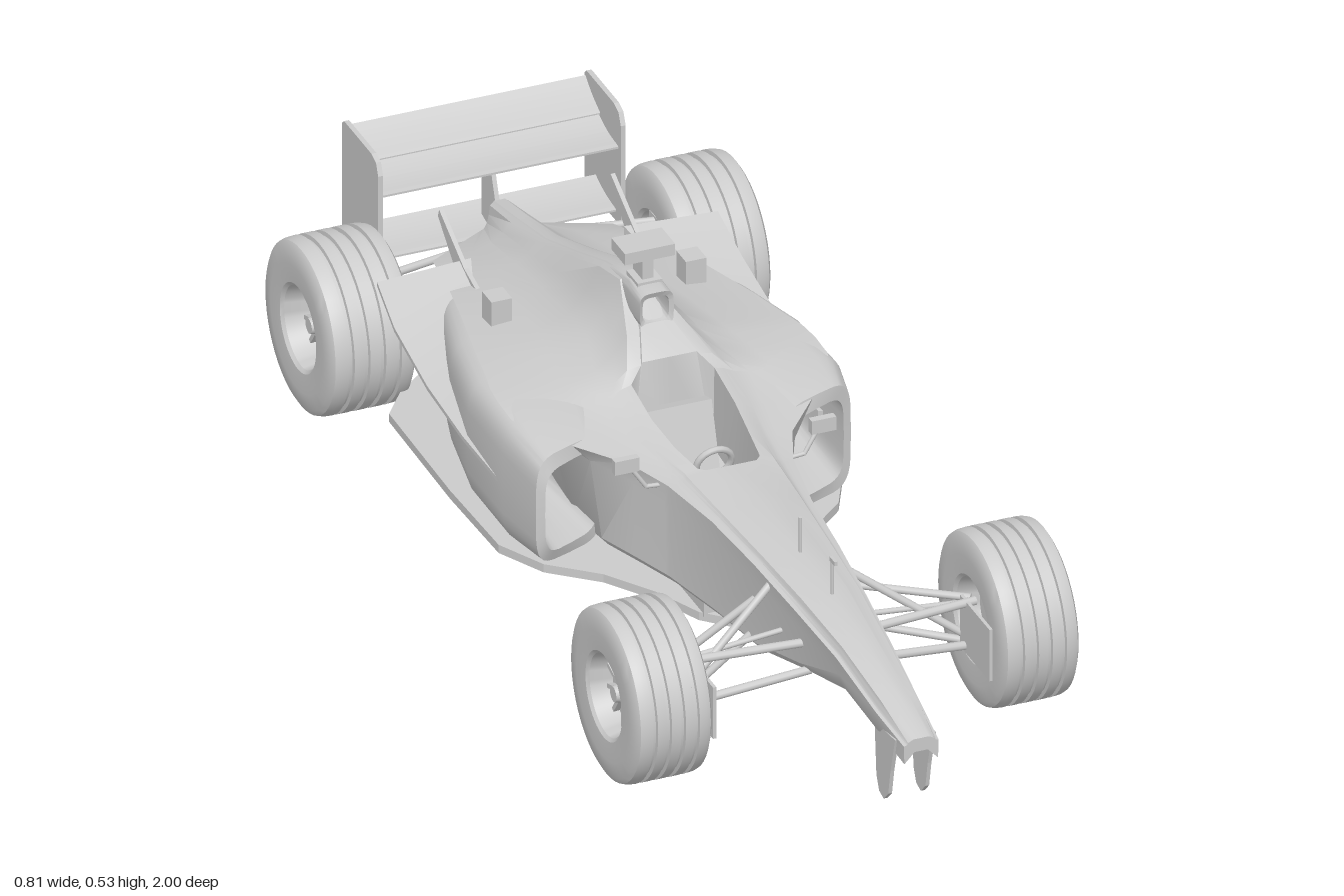
import * as THREE from 'three';
import { mergeVertices, toCreasedNormals } from 'three/addons/utils/BufferGeometryUtils.js';

const V = (x, y, z) => new THREE.Vector3(x, y, z);

// Skin equal-length closed rings, cap both ends, and turn the faces outwards.
function loft(rings, crease = 0.6) {
  const n = rings[0].length, pts = rings.flat(), idx = [];
  for (let i = 0; i < rings.length - 1; i++) {
    for (let j = 0; j < n; j++) {
      const a = i * n + j, b = i * n + (j + 1) % n;
      idx.push(a, b, a + n, b, b + n, a + n);
    }
  }
  [0, rings.length - 1].forEach((r, end) => {
    const mid = rings[r].reduce((s, p) => s.add(p), V(0, 0, 0)).divideScalar(n);
    pts.push(mid);
    for (let j = 0; j < n; j++) {
      const a = r * n + j, b = r * n + (j + 1) % n;
      idx.push(...(end ? [a, b, pts.length - 1] : [b, a, pts.length - 1]));
    }
  });
  let volume = 0;
  for (let i = 0; i < idx.length; i += 3) {
    volume += pts[idx[i]].dot(V(0, 0, 0).crossVectors(pts[idx[i + 1]], pts[idx[i + 2]]));
  }
  if (volume < 0) idx.reverse();
  const g = new THREE.BufferGeometry().setFromPoints(pts);
  g.setIndex(idx);
  return toCreasedNormals(mergeVertices(g, 1e-5), crease);
}

// Rounded-rectangle ring; the outer side is swept back by slant.
function roundRing(z, x0, x1, y0, y1, slant = 0, n = 32) {
  const round = (c) => Math.sign(c) * Math.pow(Math.abs(c), 0.45);
  return Array.from({ length: n }, (_, i) => {
    const a = (i / n) * Math.PI * 2;
    const u = round(Math.cos(a)), v = round(Math.sin(a));
    return V((x0 + x1) / 2 + u * (x1 - x0) / 2, (y0 + y1) / 2 + v * (y1 - y0) / 2, z - slant * u);
  });
}

// Body section: cockpit floor or crown, rim, concave flank, shoulder, side wall, underside.
function bodyRing([z, crown, inW, rim, topW, shX, shY, botX, bot]) {
  const flank = (t, d) => [topW + (shX - topW) * t, rim - 0.005 - (rim - 0.005 - shY) * d];
  const half = [
    [inW, crown], [inW + 0.002, rim], [topW, rim - 0.005], flank(0.1, 0.38), flank(0.25, 0.7), flank(0.5, 0.9),
    [shX, shY], [botX + (shX - botX) * 0.4, shY - 0.035], [botX, bot + 0.015], [botX - 0.012, bot],
  ];
  return [V(0, crown, z), ...half.map(([x, y]) => V(x, y, z)), V(0, bot, z), ...half.reverse().map(([x, y]) => V(-x, y, z))];
}

export function createModel() {
  const model = new THREE.Group();
  const mat = new THREE.MeshStandardMaterial({ color: 0xcccccc, side: THREE.DoubleSide });
  const add = (name, geo, x = 0, y = 0, z = 0, parent = model) => {
    const m = new THREE.Mesh(geo, mat);
    m.name = name;
    m.position.set(x, y, z);
    parent.add(m);
    return m;
  };
  const box = (name, w, h, d, x, y, z, parent) => add(name, new THREE.BoxGeometry(w, h, d), x, y, z, parent);
  const rod = (name, a, b, r = 0.006) => {
    const m = add(name, new THREE.CylinderGeometry(r, r, a.distanceTo(b), 10));
    m.position.copy(a).lerp(b, 0.5);
    m.quaternion.setFromUnitVectors(V(0, 1, 0), b.clone().sub(a).normalize());
  };
  // Side-view outline of [z, y] points, extruded across x.
  const plate = (name, pts, x, w) => {
    const g = new THREE.ExtrudeGeometry(new THREE.Shape(pts.map(([z, y]) => new THREE.Vector2(-z, y))), { depth: w, bevelEnabled: false });
    g.translate(0, 0, -w / 2).rotateY(Math.PI / 2);
    return add(name, g, x);
  };

  // Nose, cockpit tub and engine cover
  const nose = [
    [1, 0.21, 0.012, 0.21, 0.024, 0.032, 0.2, 0.03, 0.185],
    [0.9, 0.24, 0.015, 0.239, 0.031, 0.041, 0.215, 0.036, 0.174],
    [0.75, 0.268, 0.02, 0.267, 0.04, 0.052, 0.245, 0.041, 0.175],
    [0.6, 0.285, 0.03, 0.284, 0.052, 0.066, 0.262, 0.055, 0.14],
    [0.45, 0.292, 0.035, 0.291, 0.062, 0.079, 0.275, 0.072, 0.102],
    [0.3, 0.296, 0.04, 0.295, 0.072, 0.092, 0.28, 0.086, 0.092],
    [0.165, 0.297, 0.045, 0.297, 0.08, 0.115, 0.282, 0.112, 0.09],
  ];
  const cockpit = [
    [0.155, 0.22, 0.055, 0.298, 0.08, 0.118, 0.282, 0.115, 0.09],
    [0.08, 0.17, 0.066, 0.302, 0.088, 0.148, 0.286, 0.14, 0.09],
    [0, 0.17, 0.074, 0.315, 0.094, 0.22, 0.295, 0.168, 0.09],
    [-0.09, 0.18, 0.074, 0.335, 0.094, 0.285, 0.305, 0.18, 0.09],
    [-0.105, 0.365, 0.05, 0.36, 0.078, 0.29, 0.307, 0.18, 0.09],
    [-0.16, 0.4, 0.03, 0.395, 0.055, 0.29, 0.31, 0.18, 0.09],
  ];
  const cover = [
    [-0.21, 0.42, 0.018, 0.415, 0.04, 0.285, 0.31, 0.18, 0.09],
    [-0.25, 0.452, 0.014, 0.45, 0.03, 0.275, 0.309, 0.18, 0.09],
    [-0.35, 0.425, 0.013, 0.423, 0.027, 0.255, 0.304, 0.18, 0.09],
    [-0.48, 0.375, 0.012, 0.373, 0.025, 0.225, 0.294, 0.17, 0.09],
    [-0.62, 0.325, 0.011, 0.323, 0.023, 0.193, 0.275, 0.15, 0.09],
    [-0.75, 0.295, 0.01, 0.293, 0.021, 0.165, 0.245, 0.12, 0.1],
    [-0.85, 0.275, 0.01, 0.273, 0.018, 0.04, 0.22, 0.035, 0.13],
  ];
  add('body', loft([...nose, ...cockpit, ...cover].map(bodyRing)));

  // Airbox: the rings fold inwards at the lip to make the intake
  add('airIntake', loft([
    [-0.23, 0.02, 0.415, 0.445], [-0.165, 0.024, 0.403, 0.45], [-0.16, 0.031, 0.393, 0.461],
    [-0.22, 0.031, 0.39, 0.464], [-0.32, 0.022, 0.38, 0.434],
  ].map(([z, w, a, b]) => roundRing(z, -w, w, a, b))));

  // Cockpit fittings and roof camera
  const wheelRing = add('steeringWheel', new THREE.TorusGeometry(0.032, 0.006, 8, 20), 0, 0.262, 0.09);
  wheelRing.rotation.x = 0.3;
  box('seat', 0.12, 0.12, 0.03, 0, 0.23, -0.06).rotation.x = -0.3;
  box('cameraPost', 0.02, 0.05, 0.04, 0, 0.485, -0.22);
  box('cameraBase', 0.045, 0.008, 0.05, 0, 0.463, -0.215);
  box('roofCamera', 0.092, 0.022, 0.06, 0, 0.519, -0.22);
  for (const [z, y] of [[0.61, 0.28], [0.47, 0.288]]) rod('antenna', V(0, y, z), V(0, y + 0.07, z), 0.003);
  box('sensorHead', 0.006, 0.008, 0.022, 0, 0.35, 0.615);

  // Flat floor
  const edge = [[0.03, 0.3], [0.09, 0.24], [0.13, 0.15], [0.19, 0.06], [0.27, -0.01], [0.315, -0.1], [0.32, -0.3],
    [0.315, -0.58], [0.27, -0.64], [0.21, -0.69], [0.18, -0.84]];
  const outline = [...edge, ...edge.map(([x, z]) => [-x, z]).reverse()].map(([x, z]) => new THREE.Vector2(x, -z));
  const floor = new THREE.ExtrudeGeometry(new THREE.Shape(outline), { depth: 0.016, bevelEnabled: false });
  add('floor', floor.rotateX(-Math.PI / 2), 0, 0.055);
  box('floorStep', 0.17, 0.03, 1.0, 0, 0.08, -0.25);

  // Gearbox tail and diffuser
  add('gearbox', loft([[-0.7, 0.07, 0.09, 0.24], [-0.85, 0.04, 0.11, 0.21], [-0.93, 0.025, 0.13, 0.18]]
    .map(([z, w, a, b]) => roundRing(z, -w, w, a, b))));
  for (const x of [-0.12, 0, 0.12]) {
    box('diffuserPanel', 0.09, 0.006, 0.15, x, 0.09, -0.845).rotation.x = 0.35;
  }
  for (const x of [-0.17, -0.075, -0.04, 0.04, 0.075, 0.17]) {
    plate('diffuserFin', [[-0.74, 0.06], [-0.86, 0.042], [-0.915, 0.045], [-0.915, 0.115]], x, 0.005);
  }

  // Rear wing: curved blades between two end plates
  const blade = (name, z0, y0, z1, y1, sag, thick) => {
    const top = [], low = [];
    for (let i = 0; i <= 10; i++) {
      const t = i / 10, z = z0 + (z1 - z0) * t, y = y0 + (y1 - y0) * t - sag * 4 * t * (1 - t);
      const h = thick * Math.sqrt(t + 0.02) * (1.05 - t);
      top.push([z, y + h]);
      low.unshift([z, y - h]);
    }
    plate(name, [...top, ...low], 0, 0.44);
  };
  blade('mainWing', -0.85, 0.328, -0.945, 0.352, 0.01, 0.013);
  blade('wingFlap', -0.93, 0.352, -0.995, 0.392, 0.006, 0.008);
  blade('lowerWing', -0.86, 0.2, -0.95, 0.222, 0.008, 0.012);
  plate('wingPost', [[-0.82, 0.16], [-0.88, 0.32], [-0.92, 0.32], [-0.92, 0.15]], 0, 0.008);

  for (const s of [-1, 1]) {
    plate('wingEndPlate', [[-0.84, 0.18], [-0.84, 0.375], [-0.85, 0.397], [-0.87, 0.404], [-0.99, 0.404], [-1, 0.395], [-1, 0.185], [-0.99, 0.178]], s * 0.222, 0.009);

    // Sidepod with a hollow inlet
    add('sidepod', loft([
      [-0.2, 0.2, 0.27, 0.13, 0.25], [0.005, 0.165, 0.285, 0.112, 0.273], [0, 0.155, 0.3, 0.09, 0.298],
      [-0.09, 0.13, 0.312, 0.075, 0.314], [-0.25, 0.1, 0.31, 0.07, 0.311], [-0.4, 0.08, 0.28, 0.07, 0.3],
      [-0.55, 0.06, 0.235, 0.07, 0.283], [-0.68, 0.05, 0.19, 0.07, 0.258], [-0.78, 0.03, 0.13, 0.08, 0.22],
    ].map(([z, a, b, c, d], i) => roundRing(z, s * a, s * b, c, d, i < 3 ? s * 0.028 : 0))));

    // Rising winglet along the sidepod, ahead of the rear wheel
    add('sideWinglet', loft([[-0.1, 0.27, 0.311, 0.19], [-0.25, 0.25, 0.318, 0.2], [-0.4, 0.22, 0.32, 0.218],
      [-0.55, 0.17, 0.318, 0.252], [-0.64, 0.14, 0.312, 0.292]].map(([z, a, b, y]) =>
      [V(s * a, y + 0.012, z), V(s * b, y + 0.003, z), V(s * b, y - 0.005, z), V(s * a, y - 0.012, z)])));
    plate('coverFin', [[-0.53, 0.275], [-0.62, 0.298], [-0.73, 0.355], [-0.735, 0.34], [-0.64, 0.26]], s * 0.157, 0.008);
    box('exhaustVent', 0.038, 0.06, 0.042, s * 0.178, 0.32, -0.435);

    // Mirror on a bent stalk, nose pylon
    box('mirror', 0.045, 0.026, 0.014, s * 0.18, 0.322, 0.135);
    rod('mirrorStalk', V(s * 0.11, 0.272, 0.14), V(s * 0.145, 0.275, 0.14), 0.004);
    rod('mirrorStalk', V(s * 0.145, 0.275, 0.14), V(s * 0.175, 0.32, 0.135), 0.004);
    plate('nosePylon', [[0.975, 0.2], [0.955, 0.13], [0.945, 0.08], [0.925, 0.06], [0.905, 0.065], [0.893, 0.09], [0.885, 0.19]], s * 0.034, 0.007);

    // Suspension: [name, from wheel, to body, radius]
    const arms = [
      ['frontUpperArm', [0.27, 0.2, 0.59], [0.05, 0.2, 0.61], 0.008], ['frontUpperArm', [0.27, 0.195, 0.57], [0.07, 0.2, 0.44], 0.007],
      ['frontLowerArm', [0.27, 0.115, 0.59], [0.04, 0.145, 0.61], 0.008], ['frontLowerArm', [0.27, 0.11, 0.57], [0.07, 0.12, 0.42], 0.007],
      ['frontPushrod', [0.26, 0.125, 0.57], [0.065, 0.262, 0.5], 0.007], ['steeringArm', [0.27, 0.17, 0.54], [0.06, 0.19, 0.54], 0.005],
      ['driveshaft', [0.27, 0.155, -0.77], [0.03, 0.155, -0.77], 0.012], ['rearUpperArm', [0.26, 0.22, -0.77], [0.03, 0.21, -0.83], 0.007],
      ['rearUpperArm', [0.26, 0.22, -0.75], [0.1, 0.22, -0.7], 0.007], ['rearLowerArm', [0.26, 0.1, -0.77], [0.03, 0.12, -0.84], 0.007],
      ['rearLowerArm', [0.26, 0.1, -0.75], [0.1, 0.11, -0.68], 0.007], ['rearPushrod', [0.26, 0.11, -0.75], [0.08, 0.235, -0.73], 0.006],
    ];
    for (const [name, a, b, r] of arms) rod(name, V(s * a[0], a[1], a[2]), V(s * b[0], b[1], b[2]), r);
    box('brakeDuct', 0.006, 0.1, 0.13, s * 0.253, 0.155, 0.635);
    box('rearUpright', 0.02, 0.14, 0.06, s * 0.26, 0.16, -0.765);

    // Grooved wheels with dished rims
    for (const [end, x, z, h] of [['front', 0.336, 0.577, 0.071], ['rear', 0.325, -0.77, 0.08]]) {
      const wheel = new THREE.Group();
      wheel.name = end + 'Wheel';
      wheel.position.set(s * x, 0.156, z);
      wheel.rotation.z = -s * Math.PI / 2;
      model.add(wheel);
      const side = [[0.066, 0.35], [0.074, 0.9], [0.08, 0.97], [0.115, 1], [0.143, 0.97], [0.152, 0.9], [0.155, 0.78]];
      const tread = [];
      for (const g of [-0.54, -0.18, 0.18, 0.54]) {
        tread.push([0.156, g - 0.06], [0.149, g - 0.045], [0.149, g + 0.045], [0.156, g + 0.06]);
      }
      const profile = [[0, -0.35], ...side.map(([r, a]) => [r, -a]), ...tread, ...side.slice().reverse(), [0, 0.35]];
      const tyre = new THREE.LatheGeometry(profile.map(([r, a]) => new THREE.Vector2(r, a * h)), 48);
      add('tyre', toCreasedNormals(tyre, 0.5), 0, 0, 0, wheel);
      add('hub', new THREE.CylinderGeometry(0.014, 0.02, h * 0.45, 16), 0, h * 0.5, 0, wheel);
      for (let i = 0; i < 10; i++) {
        const a = (i / 10) * Math.PI * 2;
        box('spoke', 0.052, 0.012, 0.008, Math.cos(a) * 0.042, h * 0.42, -Math.sin(a) * 0.042, wheel).rotation.y = a;
      }
    }
  }
  return model;
}
